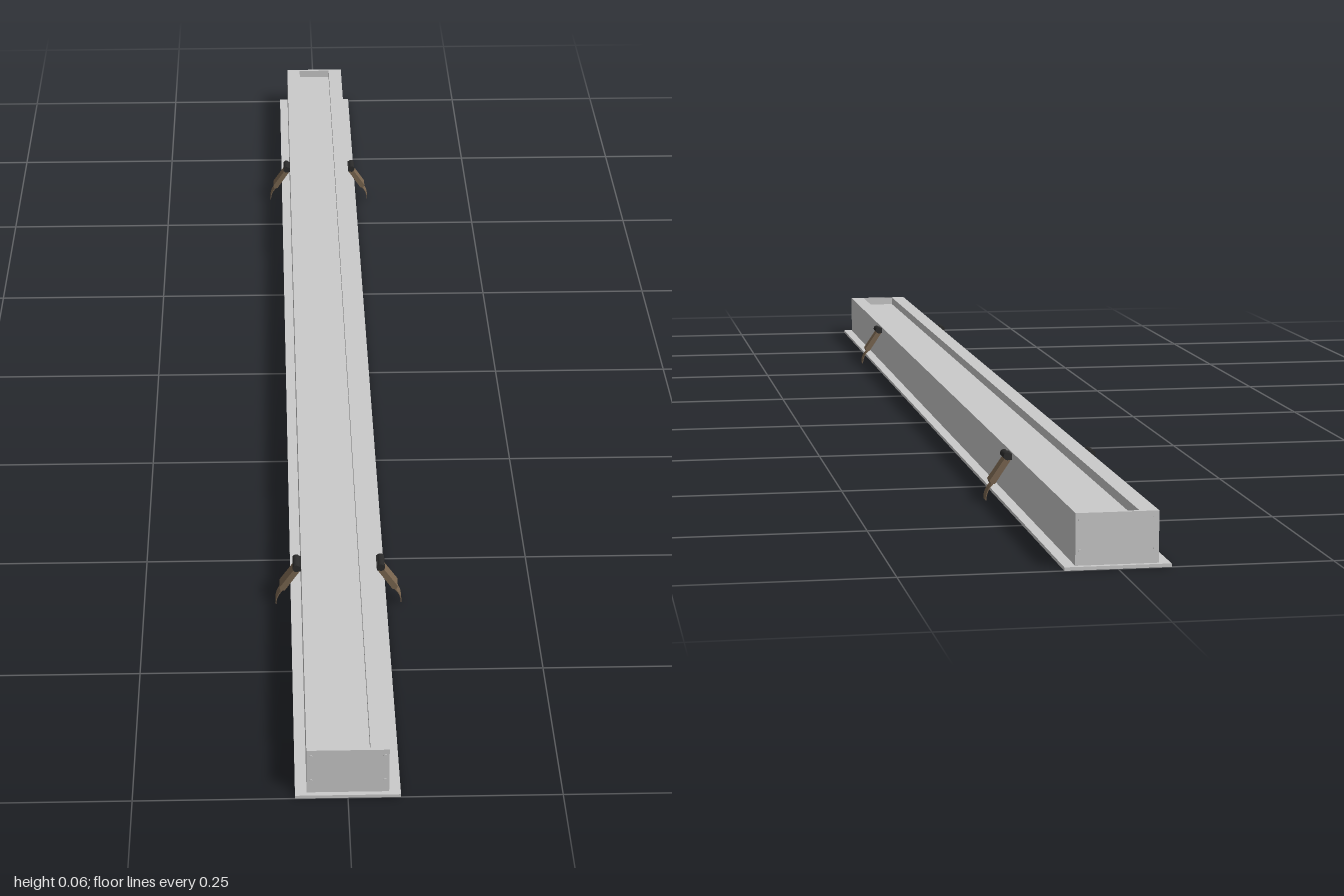
import * as THREE from 'three';

const grey = new THREE.MeshStandardMaterial({ color: 0xcccccc });
const coloured = (color) => new THREE.MeshStandardMaterial({ color });
const black = coloured(0x2b2b2b);
const brown = coloured(0x7a6650);
const spring = coloured(0x7a6650);
spring.side = THREE.DoubleSide;
const salmon = coloured(0xe08a7c);

const HALF_W = 0.048, TOP = 0.064, LIP = 0.004, END = 0.994, CAP = 0.005;

function add(parent, name, geometry, material, x = 0, y = 0, z = 0) {
  const mesh = new THREE.Mesh(geometry, material);
  mesh.name = name;
  mesh.position.set(x, y, z);
  parent.add(mesh);
  return mesh;
}

function polygon(points) {
  return new THREE.Shape(points.map(([x, y]) => new THREE.Vector2(x, y)));
}

function extrude(shape, depth) {
  return new THREE.ExtrudeGeometry(shape, { depth, bevelEnabled: false, curveSegments: 8 })
    .translate(0, 0, -depth / 2);
}

function rectangle(w, h) {
  return [[-w, -h], [w, -h], [w, h], [-w, h]];
}

// Spring clip on the +x side: bracket, pivot, slanted arm and curved leaf
function createClip() {
  const clip = new THREE.Group();
  clip.name = 'springClip';
  add(clip, 'clipBracket', new THREE.BoxGeometry(0.008, 0.008, 0.024), black, 0.05, 0.058);
  const pivot = add(clip, 'clipPivot', new THREE.CylinderGeometry(0.005, 0.005, 0.026, 12), black, 0.054, 0.059);
  pivot.rotation.x = Math.PI / 2;

  const arm = polygon([[0.049, 0.054], [0.056, 0.057], [0.076, 0.028], [0.074, 0.023], [0.069, 0.024]]);
  add(clip, 'clipArm', extrude(arm, 0.019), brown);

  // Thin leaf swept along a curve with a constant width
  const curve = new THREE.QuadraticBezierCurve(
    new THREE.Vector2(0.071, 0.025), new THREE.Vector2(0.081, 0.016), new THREE.Vector2(0.081, 0.003));
  const outer = curve.getPoints(8);
  const inner = outer.map((p) => new THREE.Vector2(p.x - 0.001, p.y - 0.0005)).reverse();
  add(clip, 'clipLeaf', extrude(new THREE.Shape([...outer, ...inner]), 0.017), spring);
  return clip;
}

export function createModel() {
  const model = new THREE.Group();
  model.name = 'recessedLinearLight';

  // Housing with a long channel sunk into its top
  const channel = 0.026, floor = TOP - 0.012;
  const profile = polygon([
    [-HALF_W, 0.002], [HALF_W, 0.002], [HALF_W, TOP], [channel, TOP],
    [channel, floor], [-channel, floor], [-channel, TOP], [-HALF_W, TOP],
  ]);
  add(model, 'housing', extrude(profile, 2 * (END - CAP)), grey);

  // Rim around the opening
  const rim = polygon(rectangle(0.0615, 1));
  rim.holes.push(new THREE.Path(rectangle(0.047, 0.986).map(([x, y]) => new THREE.Vector2(x, y))));
  const rimGeometry = extrude(rim, LIP).rotateX(-Math.PI / 2);
  add(model, 'rim', rimGeometry, grey, 0, LIP / 2, 0);

  // Light panel set slightly above the rim's lower face
  add(model, 'diffuser', new THREE.BoxGeometry(0.094, 0.002, 1.972), salmon, 0, 0.002, 0);

  // End caps with four screws each
  for (const s of [1, -1]) {
    add(model, 'endCap', new THREE.BoxGeometry(2 * HALF_W, TOP - 0.002, CAP), grey,
      0, (TOP + 0.002) / 2, s * (END - CAP / 2));
    for (const x of [-0.043, 0.043]) {
      for (const y of [0.021, 0.056]) {
        const screw = add(model, 'screw', new THREE.CylinderGeometry(0.002, 0.002, 0.002, 10), grey, x, y, s * END);
        screw.rotation.x = Math.PI / 2;
      }
    }
  }

  // Two clips on each side
  for (const z of [-0.597, 0.597]) {
    for (const turn of [0, Math.PI]) {
      const clip = createClip();
      clip.position.z = z;
      clip.rotation.y = turn;
      model.add(clip);
    }
  }
  return model;
}
